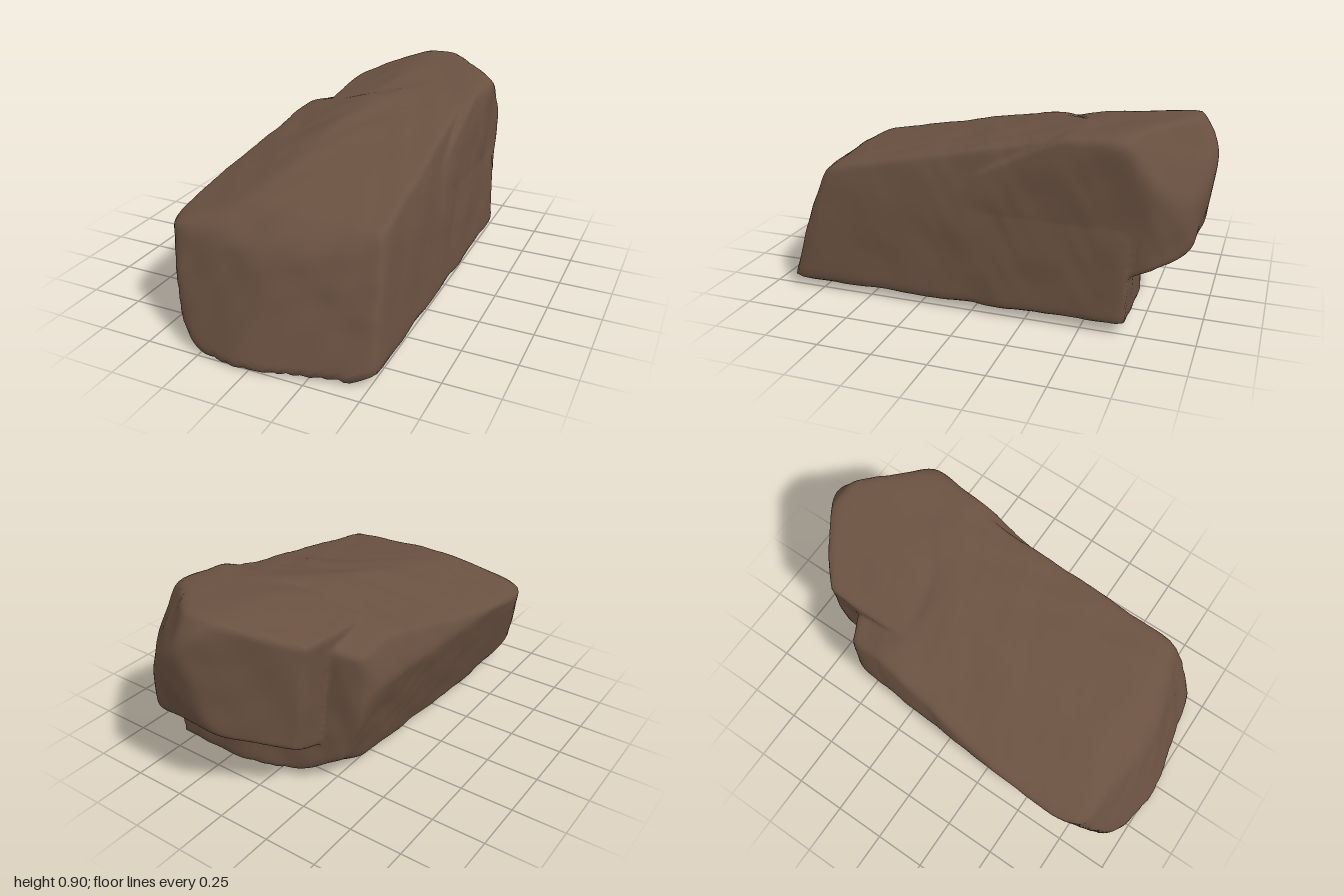
import * as THREE from 'three';
import { mergeVertices } from 'three/addons/utils/BufferGeometryUtils.js';

// Each cutting plane: outward normal, then a point on the plane.
// Main slab: slanted front, leaning left flank, sloping top.
const slab = [
  [0.23, 0.32, 1, 0, 0.04, 1.02], [-0.13, 0.32, 1, 0, 0.04, 1.02], // front faces
  [-1, -0.1, 0.4, -0.45, 0.4, 0.84],                             // front left corner
  [0, 0.78, 0.62, 0, 0.565, 0.77],                               // front bevel
  [-1, -0.34, -0.07, -0.52, 0.53, 0.6], [-1, 0.3, -0.09, -0.5, 0.56, 0.3], // left flank
  [0, 1, 0.22, 0, 0.84, -0.28], [0.08, 1, 0.2, 0.1, 0.83, -0.3], // top
  [-0.34, 1, 0.17, 0, 0.835, -0.25], [-0.27, 1, -0.2, 0, 0.835, -0.25], // top left
  [1, 0.06, 0, 0.525, 0.05, 0], [1, 0.2, 0, 0.445, 0.75, 0],     // right flank
  [0, -1, -0.025, 0, 0.003, 1],                                  // underside
  [-0.8, -1, 0.1, -0.365, 0.07, 0.8], [0.5, -1, 0, 0.51, 0.04, 0], // lower edges
  [-0.7, -1, -0.5, -0.3, 0.12, -0.5],                            // lower rear left corner
  [0, 0, -1, 0, 0, -0.7], [-0.35, 0, -1, -0.26, 0, -0.56], [-1, 0, -0.6, -0.44, 0, -0.44],
];
// Narrower rear block that overhangs the slab.
const overhang = [
  [-1, -0.1, 0, -0.265, 0.7, -0.5], [-0.32, 0, -0.45, -0.02, 0, -0.89],
  [0, -0.18, -1, 0.2, 0.73, -1.01], [0, 0.6, -0.75, 0.2, 0.84, -0.965],
  [1, 0, -0.6, 0.47, 0, -0.84], [0.55, 0, -1, 0.36, 0, -0.965],
  [0.7, 0.5, -0.7, 0.46, 0.74, -0.77],                           // rear right bevel
  [1, -0.02, 0, 0.502, 0.8, 0], [1, 0.2, 0.12, 0.505, 0.83, -0.6],
  [0.6, 1, 0, 0.46, 0.86, 0],
  [0, 1, 0.14, 0.15, 0.902, -0.85], [-0.3, 1, 0.1, 0, 0.865, -0.7],
  [0, 1, 0.5, 0, 0.83, -0.38],                                   // dips under the slab top
  [0, -1, -0.4, 0, 0.28, -0.75], [0, -0.7, -0.7, 0.2, 0.38, -0.95],
  [0, -1, 0, 0, 0.1, 0], [0, 0, 1, 0, 0, 0.1],
];

const centre = new THREE.Vector3(0.05, 0.45, -0.2);

// Distance from the centre to a convex block, with softened edges
function reach(planes, d) {
  const p = 60;
  let sum = 0;
  for (const [a, b, c, x, y, z] of planes) {
    const toward = a * d.x + b * d.y + c * d.z;
    if (toward <= 1e-6) continue;
    const h = a * (x - centre.x) + b * (y - centre.y) + c * (z - centre.z);
    sum += Math.pow(toward / h, p);
  }
  return Math.pow(sum, -1 / p);
}

// Smooth weathering dents
function dents(v) {
  const s = Math.sin;
  return 0.005 * s(9 * v.x + 4 * s(5 * v.z)) * s(8 * v.y + 7 * v.z + 1)
    + 0.004 * s(17 * v.z + 3 * s(9 * v.x)) * s(15 * v.x - 13 * v.y + 2)
    + 0.002 * s(31 * v.y + 2 * s(19 * v.z)) * s(27 * v.z + 23 * v.x);
}

function rockGeometry() {
  let geo = new THREE.IcosahedronGeometry(1, 40);
  geo.deleteAttribute('uv');
  geo.deleteAttribute('normal');
  geo = mergeVertices(geo, 1e-4);
  const pos = geo.attributes.position;
  const d = new THREE.Vector3();
  const v = new THREE.Vector3();
  for (let i = 0; i < pos.count; i++) {
    d.fromBufferAttribute(pos, i).multiply(v.set(0.6, 0.55, 1)).normalize();
    const r = Math.max(reach(slab, d), reach(overhang, d));
    v.copy(centre).addScaledVector(d, r);
    v.addScaledVector(d, dents(v));
    pos.setXYZ(i, v.x, v.y, v.z);
  }
  geo.computeVertexNormals();
  return geo;
}

export function createModel() {
  const group = new THREE.Group();
  group.name = 'boulder';
  const stone = new THREE.MeshStandardMaterial({ color: 0x6a5141 });
  stone.name = 'brown stone';
  const rock = new THREE.Mesh(rockGeometry(), stone);
  rock.name = 'rock';
  group.add(rock);
  return group;
}
